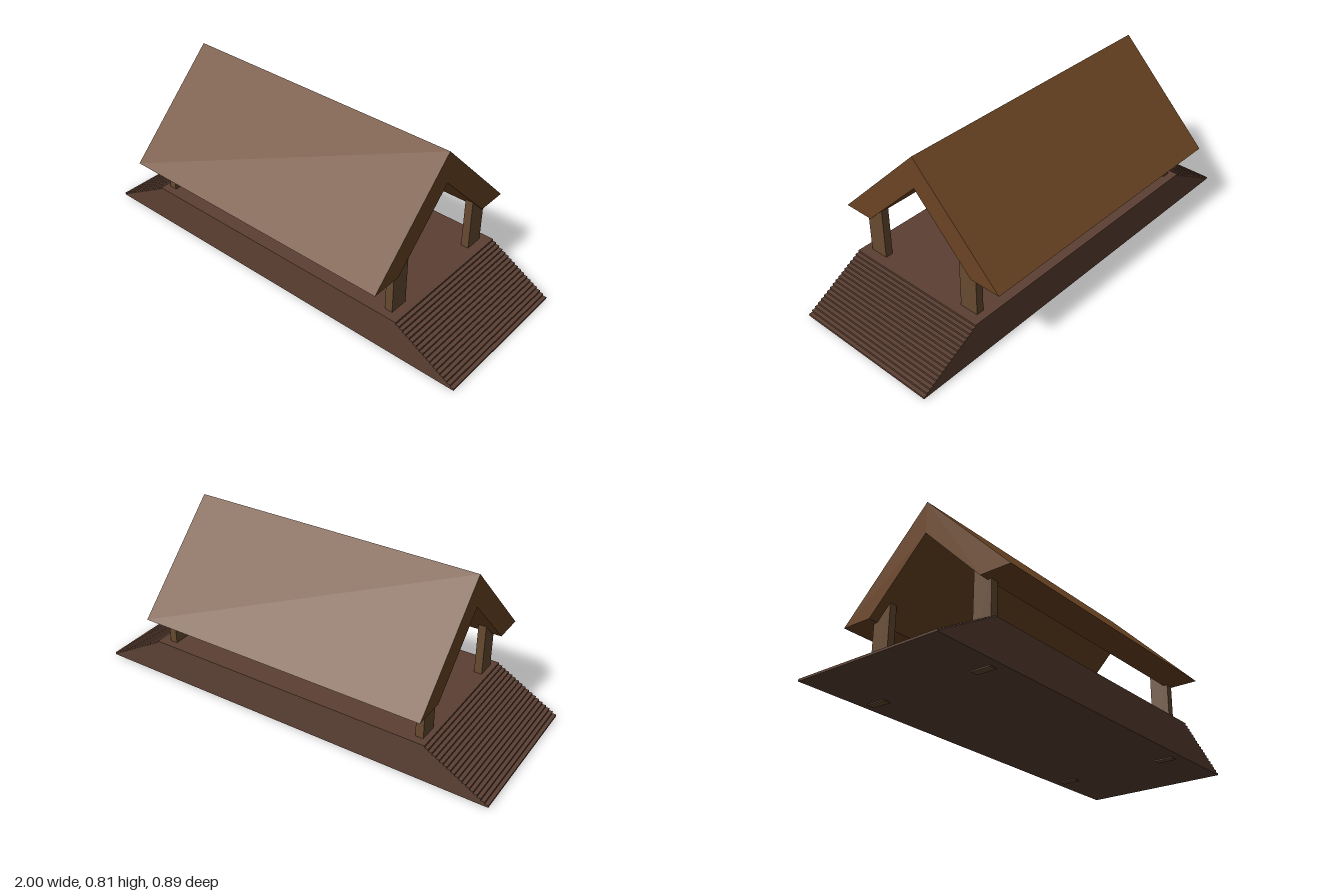
import * as THREE from 'three';

const material = (color) => new THREE.MeshStandardMaterial({ color, flatShading: true });

// Extrude a list of [x, y] corners, centred on the extrusion axis.
function prism(name, points, depth, mat) {
  const shape = new THREE.Shape(points.map(([x, y]) => new THREE.Vector2(x, y)));
  const geometry = new THREE.ExtrudeGeometry(shape, { depth, bevelEnabled: false });
  geometry.translate(0, 0, -depth / 2);
  const mesh = new THREE.Mesh(geometry, mat);
  mesh.name = name;
  return mesh;
}

export function createModel() {
  const model = new THREE.Group();
  model.name = 'openPavilion';
  const baseWood = material(0x5c4033);
  const roofWood = material(0x6b4423);
  const postWood = material(0x664a30);
  const metal = material(0xcccccc);

  // Platform with a flight of fine steps at each end
  const steps = 18, bottom = 0.005, top = 0.185, outer = 1, inner = 0.705;
  const rise = (top - bottom) / steps;
  const run = (outer - inner) / (steps - 1);
  const flight = [];
  for (let i = 0; i < steps; i++) {
    const x = outer - i * run;
    flight.push([x, bottom + i * rise], [x, bottom + (i + 1) * rise]);
  }
  const mirrored = flight.map(([x, y]) => [-x, y]).reverse();
  model.add(prism('steppedPlatform', [...flight, ...mirrored], 0.71, baseWood));

  // Gabled roof: a thick chevron running along x
  const roof = prism('gableRoof', [
    [0.447, 0.363], [0, 0.81], [-0.447, 0.363],
    [-0.297, 0.363], [0, 0.66], [0.297, 0.363],
  ], 1.39, roofWood);
  roof.rotation.y = Math.PI / 2;
  roof.position.x = -0.03;
  model.add(roof);

  // Four corner posts
  const postGeometry = new THREE.BoxGeometry(0.037, 0.45, 0.09);
  for (const x of [-0.661, 0.639]) {
    for (const z of [-0.272, 0.272]) {
      const post = new THREE.Mesh(postGeometry, postWood);
      post.name = 'cornerPost';
      post.position.set(x, 0.225, z);
      model.add(post);
    }
  }

  // Toothed disc half sunk into the platform
  const teeth = [];
  for (let i = 0; i < 7; i++) {
    const tip = THREE.MathUtils.degToRad(92) + (i / 7) * Math.PI * 2;
    const valley = tip + THREE.MathUtils.degToRad(36);
    teeth.push([0.081 * Math.cos(tip), 0.081 * Math.sin(tip)]);
    teeth.push([0.058 * Math.cos(valley), 0.058 * Math.sin(valley)]);
  }
  const disc = prism('toothedDisc', teeth, 0.007, metal);
  disc.position.y = 0.188;
  model.add(disc);

  return model;
}
